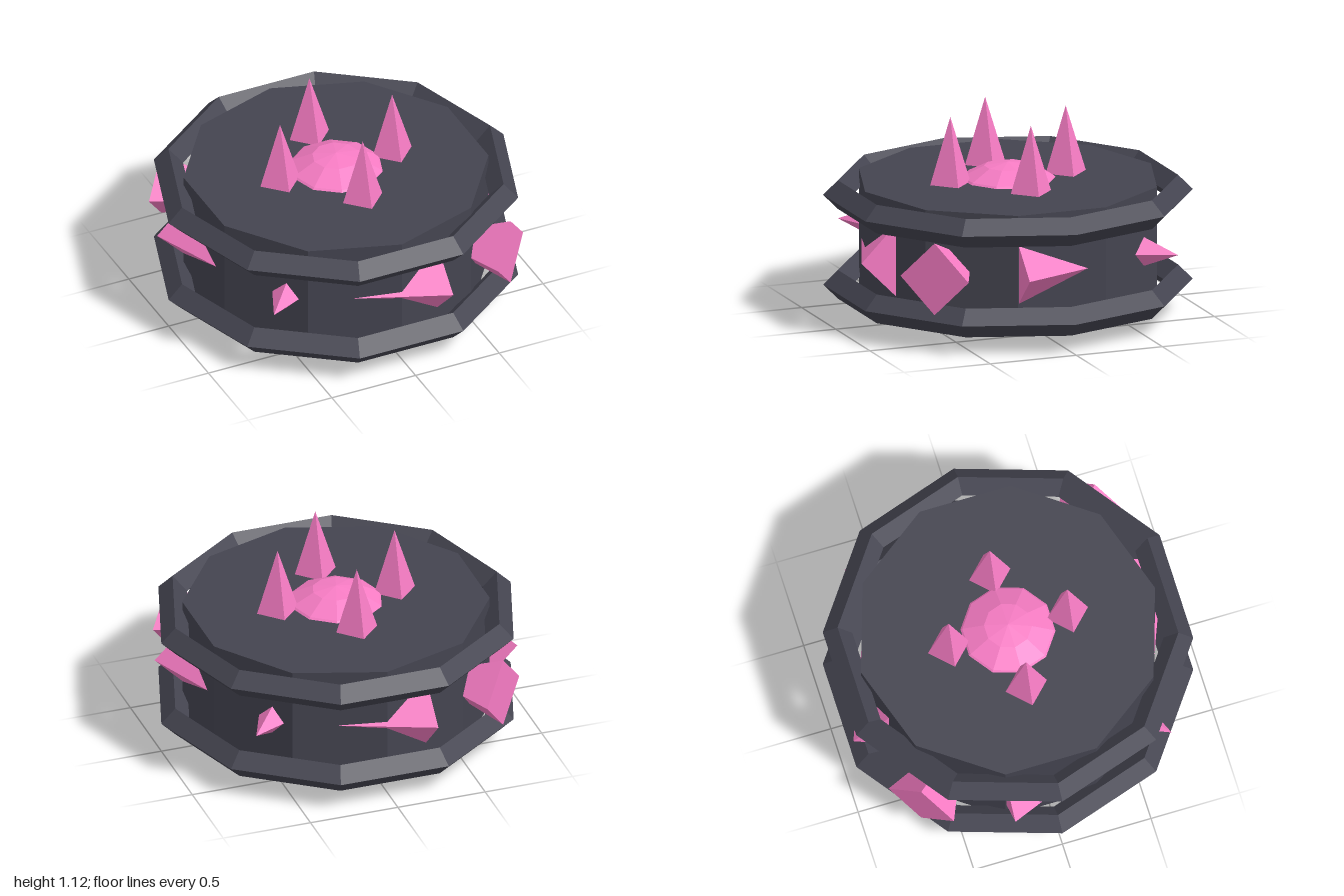
import * as THREE from 'three';

const MID = 0.42; // height of the drum's middle

export function createModel() {
  const model = new THREE.Group();
  const dark = new THREE.MeshStandardMaterial({ color: 0x444450, flatShading: true });
  const pink = new THREE.MeshStandardMaterial({ color: 0xf77cc4, flatShading: true });

  const add = (name, geometry, material, x, y, z) => {
    const mesh = new THREE.Mesh(geometry, material);
    mesh.name = name;
    mesh.position.set(x, y, z);
    model.add(mesh);
    return mesh;
  };

  // Ten-sided drum with a faceted core showing through both caps
  add('drum', new THREE.CylinderGeometry(0.83, 0.83, 0.66, 10), dark, 0, MID, 0);
  add('core', new THREE.SphereGeometry(0.42, 10, 10), pink, 0, MID, 0);

  // Diamond-section rims around the top and bottom edges
  const rim = new THREE.TorusGeometry(0.92, 0.08, 4, 10).rotateX(Math.PI / 2);
  add('upperRim', rim, dark, 0, MID + 0.25, 0);
  add('lowerRim', rim, dark, 0, MID - 0.25, 0);

  // Four upright spikes on the top cap
  const topSpike = new THREE.ConeGeometry(0.12, 0.38, 4);
  for (let i = 0; i < 4; i++) {
    const a = (i * Math.PI) / 2;
    add('topSpike', topSpike, pink, 0.335 * Math.cos(a), 0.93, 0.335 * Math.sin(a));
  }

  // Eight side spikes, each turned against its place on the drum so that
  // they point outward, sideways and inward in turn
  const sideSpike = new THREE.ConeGeometry(0.2, 0.5, 4).rotateZ(-Math.PI / 2);
  for (let i = 0; i < 8; i++) {
    const a = (i * Math.PI) / 4;
    const spike = add('sideSpike', sideSpike, pink, 0.75 * Math.cos(a), MID, 0.75 * Math.sin(a));
    spike.rotation.y = Math.PI / 2 + a;
  }

  return model;
}
